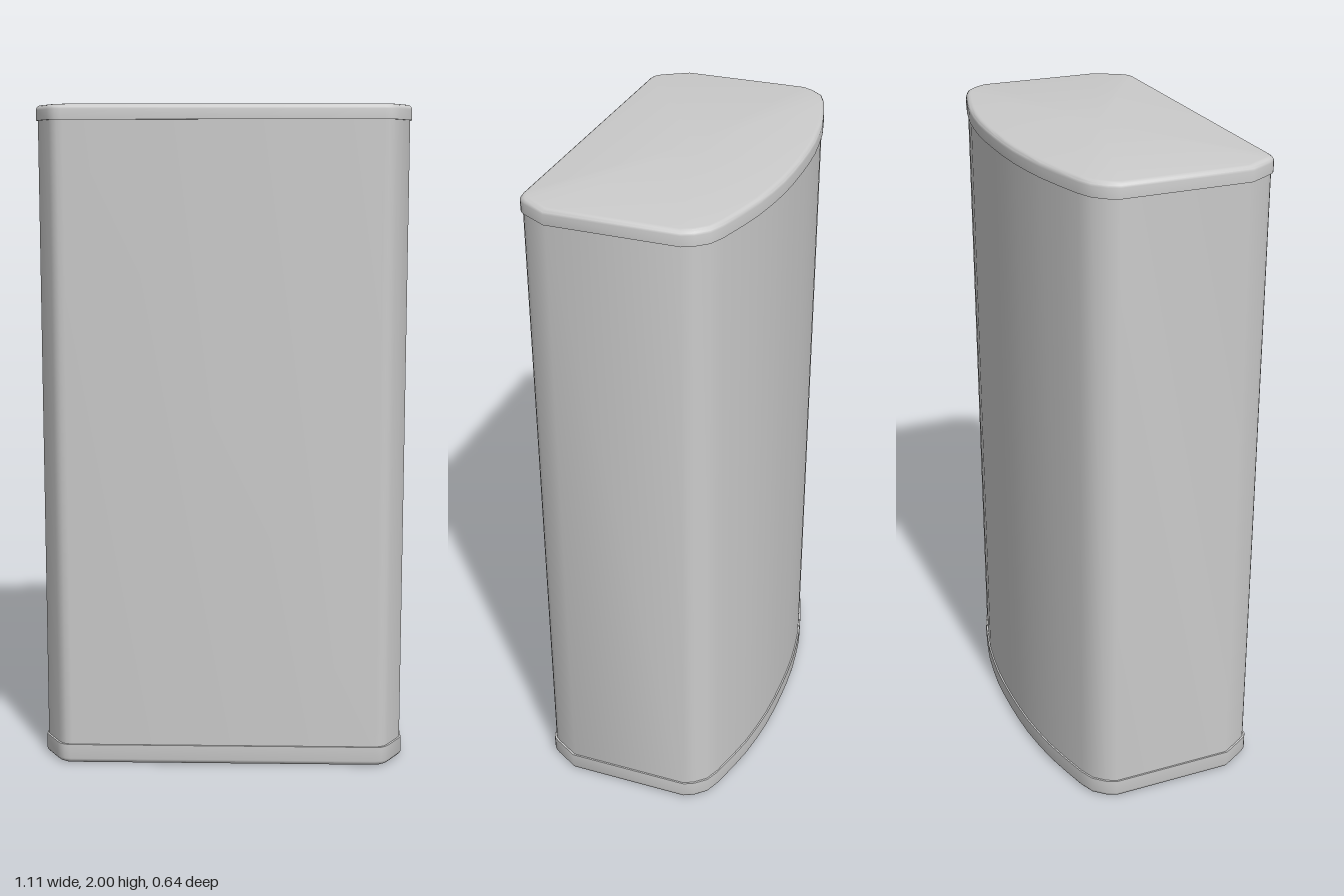
import * as THREE from 'three';
import { toCreasedNormals } from 'three/addons/utils/BufferGeometryUtils.js';

const HALF_W = 0.555, HALF_D = 0.32;

// Right half of the plan, from the middle of the bowed back round to the flat front.
const half = [
  [0, -0.32], [0.075, -0.319], [0.15, -0.315], [0.225, -0.306], [0.3, -0.294], [0.385, -0.273],
  [0.465, -0.25], [0.51, -0.23], [0.54, -0.196], [0.555, -0.165],
  [0.555, 0.22], [0.513, 0.292], [0.502, 0.307], [0.488, 0.316], [0.47, 0.319],
];
const plan = [...half, ...half.slice(1).reverse().map(([x, z]) => [-x, z])];

// Closed solid lofted through rings of [inset, y], bottom to top.
function loft(rings) {
  const pos = [];
  const n = plan.length;
  const point = ([inset, y], i) => {
    const [x, z] = plan[i % n];
    return [x * (1 - inset / HALF_W), y, z * (1 - inset / HALF_D)];
  };
  const tri = (a, b, c) => pos.push(...a, ...b, ...c);
  const first = rings[0], last = rings[rings.length - 1];
  for (let i = 0; i < n; i++) {
    for (let r = 0; r < rings.length - 1; r++) {
      const a = point(rings[r], i), b = point(rings[r], i + 1);
      const c = point(rings[r + 1], i + 1), d = point(rings[r + 1], i);
      tri(a, d, c);
      tri(a, c, b);
    }
    tri([0, first[1], 0], point(first, i), point(first, i + 1));
    tri([0, last[1], 0], point(last, i + 1), point(last, i));
  }
  const geo = new THREE.BufferGeometry();
  geo.setAttribute('position', new THREE.Float32BufferAttribute(pos, 3));
  return toCreasedNormals(geo, 0.65);
}

// Quarter-round edge running from the side wall to the flat face at height y.
function roundEdge(y, dir, radius = 0.015, steps = 4) {
  return Array.from({ length: steps + 1 }, (_, i) => {
    const t = (i / steps) * Math.PI / 2;
    return [radius * (1 - Math.cos(t)), y - dir * radius * (1 - Math.sin(t))];
  });
}

export function createModel() {
  const model = new THREE.Group();
  model.name = 'cabinet';
  const material = new THREE.MeshStandardMaterial({ color: 0xcccccc });
  const add = (name, rings) => {
    const mesh = new THREE.Mesh(loft(rings), material);
    mesh.name = name;
    model.add(mesh);
  };

  // Base plate, slightly recessed body and top plate
  add('basePlate', [...roundEdge(0, -1).reverse(), [0, 0.06]]);
  add('body', [[0.005, 0.05], [0.005, 1.965]]);
  add('topPlate', [[0, 1.955], ...roundEdge(2, 1)]);
  return model;
}
